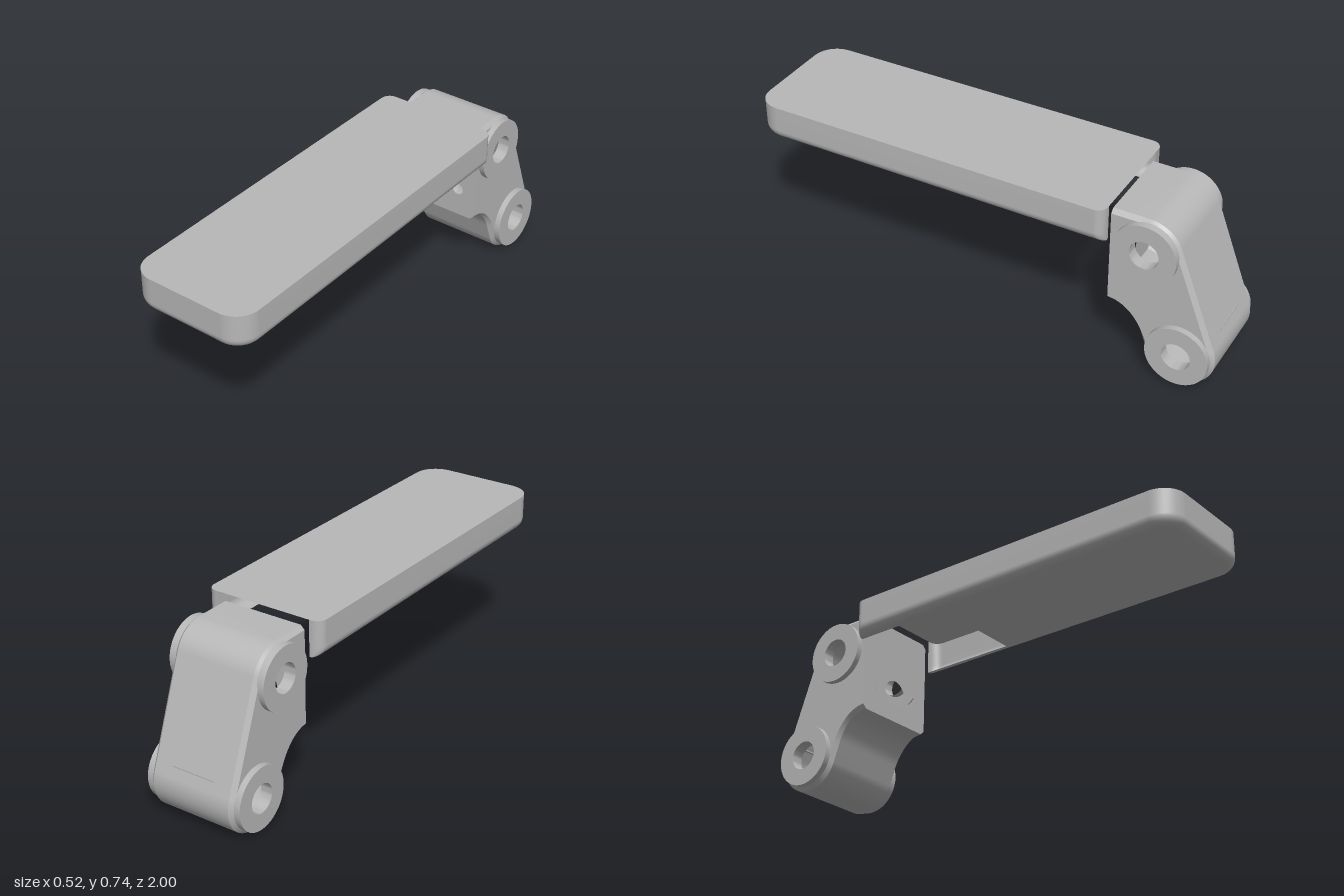
import * as THREE from 'three';
import { toCreasedNormals } from 'three/addons/utils/BufferGeometryUtils.js';

const V2 = (x, y) => new THREE.Vector2(x, y);

// Points on an arc, angles in degrees
function arc(cx, cy, r, from, to, n) {
  return Array.from({ length: n + 1 }, (_, i) => {
    const a = THREE.MathUtils.degToRad(from + (to - from) * i / n);
    return V2(cx + r * Math.cos(a), cy + r * Math.sin(a));
  });
}

// Smooth skin through rows of 3D points
function loft(rows) {
  const n = rows[0].length, index = [];
  for (let i = 0; i < rows.length - 1; i++) {
    for (let j = 0; j < n - 1; j++) {
      const a = i * n + j, b = a + 1, c = a + n, d = c + 1;
      index.push(a, c, b, b, c, d);
    }
  }
  const g = new THREE.BufferGeometry().setFromPoints(rows.flat());
  g.setIndex(index);
  g.computeVertexNormals();
  return g;
}

function circleHole(shape, x, y, r) {
  const h = new THREE.Path();
  h.absarc(x, y, r, 0, Math.PI * 2, true);
  shape.holes.push(h);
}

export function createModel() {
  const model = new THREE.Group();
  const grey = new THREE.MeshStandardMaterial({ color: 0xb8b8b8, side: THREE.DoubleSide });
  grey.name = 'grey';
  const add = (parent, name, geometry) => {
    const m = new THREE.Mesh(geometry, grey);
    m.name = name;
    parent.add(m);
    return m;
  };

  // Long hollow pad: plan outline (x, z) inset by d, open in the middle of the back
  const pad = new THREE.Group();
  pad.name = 'pad';
  model.add(pad);
  const outline = d => {
    const w = 0.26 - d, rb = Math.max(0.04 - d, 0.003), rf = 0.1 - d;
    const half = [V2(0.21, -0.55), ...arc(w - rb, -0.55 + rb, rb, -90, 0, 5),
      ...arc(w - rf, 1 - d - rf, rf, 0, 90, 10)];
    return [...half, ...half.slice().reverse().map(p => V2(-p.x, p.y))];
  };
  const rows = [];
  for (let i = 0; i <= 8; i++) {
    const a = i / 8 * Math.PI / 2;
    rows.push([0.045 * (1 - Math.sin(a)), 0.59 + 0.045 * (1 - Math.cos(a))]);
  }
  rows.push([0, 0.74]);
  add(pad, 'padSides', loft(rows.map(([d, y]) =>
    outline(d).map(p => new THREE.Vector3(p.x, y, p.y)))));
  const top = new THREE.ShapeGeometry(new THREE.Shape(outline(0).map(p => V2(p.x, -p.y))));
  add(pad, 'padTop', top.rotateX(-Math.PI / 2).translate(0, 0.74, 0));
  // Underside with a rectangular notch at the back
  const under = new THREE.Shape([...outline(0.045), V2(-0.21, -0.12), V2(0.21, -0.12)]);
  add(pad, 'padUnderside', new THREE.ShapeGeometry(under).rotateX(Math.PI / 2).translate(0, 0.59, 0));

  // Hollow bracket: side profile (z, y) inset by d, open at the front
  const bracket = new THREE.Group();
  bracket.name = 'bracket';
  model.add(bracket);
  const pivots = [V2(-0.7, 0.57), V2(-0.855, 0.145)];
  const [A, B] = pivots;
  const profile = d => [
    V2(-0.55, 0.71 - d),
    ...arc(A.x, A.y, 0.14 - d, 90, 160, 12),
    ...arc(B.x, B.y, 0.145 - d, 160, 340, 28),
    ...new THREE.QuadraticBezierCurve(V2(-0.69 - d, 0.175), V2(-0.65, 0.285 + d), V2(-0.55, 0.288 + d)).getPoints(12),
  ];
  const bevel = 0.017;
  const row = (x, d) => profile(d).map(p => new THREE.Vector3(x, p.y, p.x));
  add(bracket, 'bracketSkin', loft([row(-0.173, 0), row(0.173, 0)]));
  add(bracket, 'bracketBevelRight', loft([row(-0.19, bevel), row(-0.173, 0)]));
  add(bracket, 'bracketBevelLeft', loft([row(0.173, 0), row(0.19, bevel)]));

  // Side plates and pivot bosses, both sides
  for (const s of [-1, 1]) {
    const side = new THREE.Shape(profile(bevel).map(p => V2(-s * p.x, p.y)));
    pivots.forEach(p => circleHole(side, -s * p.x, p.y, 0.06));
    add(bracket, 'sidePlate', new THREE.ShapeGeometry(side, 24)
      .rotateY(s * Math.PI / 2).translate(s * 0.19, 0, 0));
    pivots.forEach(p => {
      const ring = new THREE.LatheGeometry(
        [V2(0.13, 0.185), V2(0.13, 0.215), V2(0.06, 0.215), V2(0.06, 0.165)].reverse(), 48);
      const boss = add(bracket, 'pivotBoss', toCreasedNormals(ring, 0.6));
      boss.rotation.z = -s * Math.PI / 2;
      boss.position.set(0, p.y, p.x);
    });
  }

  // Front mounting face with one large and two small holes
  const face = new THREE.Shape([
    V2(-0.173, 0.288), V2(0.173, 0.288), V2(0.19, 0.305), V2(0.19, 0.693),
    V2(0.173, 0.71), V2(-0.173, 0.71), V2(-0.19, 0.693), V2(-0.19, 0.305),
  ]);
  circleHole(face, 0, 0.412, 0.06);
  for (const s of [-1, 1]) circleHole(face, s * 0.107, 0.412, 0.025);
  add(bracket, 'mountingFace', new THREE.ShapeGeometry(face, 24).translate(0, 0, -0.55));

  // Thin slot lips on the front hollow and the back
  add(bracket, 'frontSlotLip', new THREE.BoxGeometry(0.172, 0.008, 0.02)).position.set(0, 0.222, -0.682);
  add(bracket, 'backSlotLip', new THREE.BoxGeometry(0.19, 0.005, 0.01)).position.set(0, 0.235, -0.972);

  return model;
}
